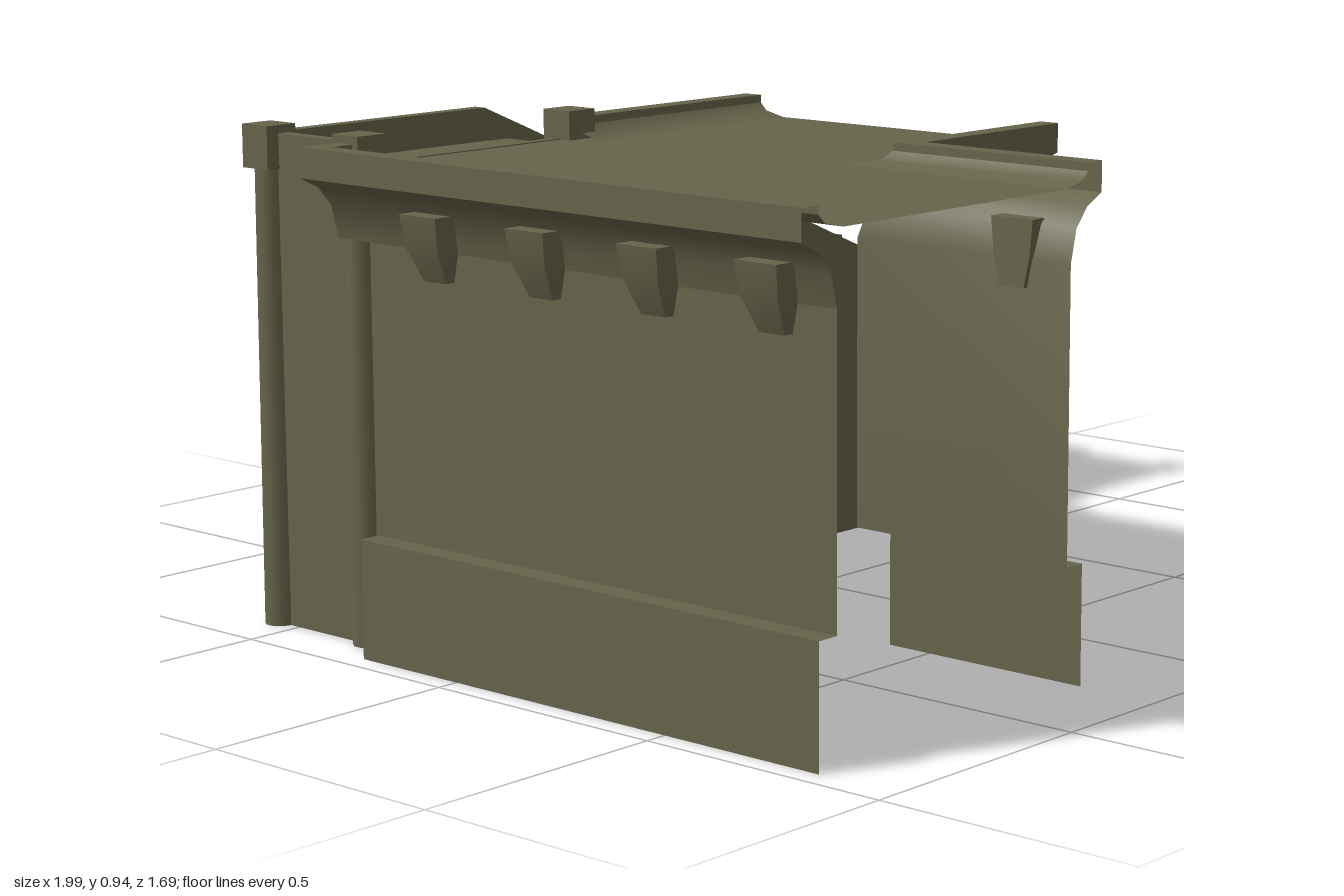
import * as THREE from 'three';
import { toCreasedNormals } from 'three/addons/utils/BufferGeometryUtils.js';

const stone = new THREE.MeshStandardMaterial({ color: 0x66644a, side: THREE.DoubleSide });
stone.name = 'olive stone';

export function createModel() {
  const model = new THREE.Group();

  const add = (name, geometry, x = 0, y = 0, z = 0) => {
    const mesh = new THREE.Mesh(geometry, stone);
    mesh.name = name;
    mesh.position.set(x, y, z);
    model.add(mesh);
    return mesh;
  };

  // Sheet lofted between rows of [x, y, z] points
  const loft = (rows, reverse = false) => {
    const n = rows[0].length, index = [];
    for (let i = 0; i < rows.length - 1; i++) {
      for (let j = 0; j < n - 1; j++) {
        const a = i * n + j, b = a + 1, c = a + n, d = c + 1;
        if (reverse) index.push(a, b, c, b, d, c);
        else index.push(a, c, b, b, c, d);
      }
    }
    const g = new THREE.BufferGeometry();
    g.setAttribute('position', new THREE.Float32BufferAttribute(rows.flat(2), 3));
    g.setIndex(index);
    g.computeVertexNormals();
    return g;
  };
  const creased = (g) => toCreasedNormals(g, 0.7);

  const outline = (pts) => new THREE.Shape(pts.map(([x, y]) => new THREE.Vector2(x, y)));

  // Upright slab in the x-y plane, centred on z
  const slab = (name, pts, z, t) =>
    add(name, new THREE.ExtrudeGeometry(outline(pts), { depth: t, bevelEnabled: false }), 0, 0, z - t / 2);

  // Coping that follows a line of [x, top] points
  const coping = (name, line, z, t, h = 0.06) =>
    slab(name, [...line, ...line.map(([x, y]) => [x, Math.max(0, y - h)]).reverse()], z, t);

  // Deck, an L-shaped sheet
  const deck = new THREE.ShapeGeometry(outline([
    [-0.9, 0.33], [0.17, 0.33], [0.17, -0.36], [-0.31, -0.36], [-0.31, -0.84], [-0.9, -0.84],
  ]));
  deck.rotateX(-Math.PI / 2);
  add('deck', deck, 0, 0.88, 0);

  // Kerb, cornice and wall section: [inset from rim, height]
  const rim = [[0.1, 0.88], [0.055, 0.89], [0.04, 0.905], [0.04, 0.92], [0, 0.92], [0, 0.865],
    [0.04, 0.845], [0.07, 0.81], [0.085, 0.75]];
  const wall = [[0.085, 0.75], [0.085, 0.22], [0.042, 0.22], [0.042, 0]];

  add('sideCornice', creased(loft(rim.map(([o, y]) => [[-1 + o, y, -0.33], [-1 + o, y, 0.84]]))));
  add('sideWall', creased(loft(wall.map(([o, y]) => [[-1 + o, y, -0.24], [-1 + o, y, 0.84]]))));
  add('notchWall', creased(loft([...rim, ...wall.slice(1)].map(([o, y]) => [
    [-0.22 - o, y, 0.84], [-0.22 - o, y, 0.45 - o], [0.17, y, 0.45 - o],
  ]))));
  add('rearCornice', creased(loft(rim.map(([o, y]) => [[0.17, y, -0.33 + o], [-0.35, y, -0.33 + o]]))));
  add('corniceEnd', new THREE.BoxGeometry(0.1, 0.05, 0.04), -0.95, 0.895, -0.31);

  // Wall at the back of the hall, running on as the outer side of the upper flight
  slab('hallBackWall', [[-0.9, 0], [0.95, 0], [0.95, 0.42], [0.69, 0.42], [0.17, 0.64], [-0.1, 0.75], [-0.9, 0.75]], -0.255, 0.016);
  slab('hallBackCove', [[-0.91, 0.82], [-0.86, 0.75], [-0.3, 0.75], [-0.24, 0.82], [-0.24, 0.88], [-0.91, 0.88]], -0.25, 0.012);
  coping('upperFlightCoping', [[0, 0.772], [0.17, 0.7], [0.69, 0.48], [0.96, 0.48]], -0.265, 0.035);

  // Wall between the flights
  slab('middleWall', [[-0.88, 0], [0.69, 0], [0.69, 0.42], [-0.35, 0.86], [-0.88, 0.86]], -0.55, 0.016);
  coping('middleCoping', [[-0.88, 0.92], [-0.35, 0.92], [0.69, 0.48]], -0.552, 0.026);

  // Outer wall of the lower flight
  slab('outerWall', [[-0.35, 0], [0.95, 0], [0.95, 0.42], [0.69, 0.42], [-0.3, 0.01]], -0.815, 0.014);
  coping('outerCoping', [[-0.35, 0.04], [0.69, 0.48], [0.96, 0.48]], -0.815, 0.024);

  // Landing end wall and the short wall beside the top landing
  add('landingWall', new THREE.BoxGeometry(0.014, 0.42, 0.54), 0.955, 0.21, -0.55);
  add('landingCoping', new THREE.BoxGeometry(0.025, 0.06, 0.54), 0.958, 0.45, -0.55);
  add('topLandingWall', new THREE.BoxGeometry(0.016, 0.86, 0.3), -0.875, 0.43, -0.4);
  add('topLandingCoping', new THREE.BoxGeometry(0.024, 0.06, 0.24), -0.875, 0.89, -0.43);
  add('topLanding', new THREE.PlaneGeometry(0.53, 0.3).rotateX(-Math.PI / 2), -0.615, 0.855, -0.4);
  add('topLandingRiser', new THREE.PlaneGeometry(0.55, 0.03), -0.625, 0.867, -0.3).rotation.y = Math.PI;

  // Flights of small steps with softened edges
  const flight = (name, x0, y0, x1, y1, zBack, zFront) => {
    const steps = 17, rows = [];
    for (let i = 0; i <= steps; i++) {
      const x = x0 + (x1 - x0) * i / steps;
      const y = y0 + (y1 - y0) * i / steps;
      rows.push([[x, y, zBack], [x, y, zFront]]);
      if (i < steps) {
        const nx = x0 + (x1 - x0) * (i + 1) / steps;
        rows.push([[nx, y, zBack], [nx, y, zFront]]);
      }
    }
    add(name, loft(rows, x1 > x0));
  };
  flight('upperFlight', -0.35, 0.855, 0.69, 0.42, -0.545, -0.26);
  flight('lowerFlight', 0.69, 0.42, -0.3, 0, -0.81, -0.555);

  // Posts with square caps: [x, z, foot, top, cap height]
  [
    [0.96, -0.815, 0, 0.5, 0.03], [0.96, -0.55, 0, 0.5, 0.03], [0.96, -0.275, 0, 0.5, 0.03],
    [-0.88, -0.553, 0, 0.935, 0.08], [-0.88, -0.31, 0, 0.935, 0.16], [-0.35, -0.31, 0.66, 0.935, 0.16],
  ].forEach(([x, z, foot, top, cap]) => {
    const h = top - foot - cap;
    add('postShaft', new THREE.CylinderGeometry(0.028, 0.031, h, 10), x, foot + h / 2, z);
    add('postCap', new THREE.BoxGeometry(0.068, cap, 0.068), x, top - cap / 2, z);
  });
  add('cornerColumn', new THREE.CylinderGeometry(0.028, 0.028, 0.53, 10), -0.885, 0.485, -0.215);

  // Corbels, narrowing downwards and back to the wall
  const corbel = (x, z, turn) => {
    const g = new THREE.BoxGeometry(0.09, 0.12, 0.07, 1, 2, 1);
    const p = g.attributes.position;
    for (let i = 0; i < p.count; i++) {
      const low = p.getY(i) < -0.01, mid = Math.abs(p.getY(i)) < 0.01;
      if (low) p.setX(i, p.getX(i) * 0.6);
      else if (mid) p.setX(i, p.getX(i) * 0.88);
      if (p.getZ(i) > 0) p.setZ(i, low ? -0.005 : mid ? 0.025 : 0.035);
    }
    g.computeVertexNormals();
    add('corbel', g, x, 0.76, z).rotation.y = turn;
  };
  for (let i = 0; i < 4; i++) corbel(-0.94, -0.06 + 0.26 * i, -Math.PI / 2);
  corbel(-0.28, 0.72, Math.PI / 2);
  corbel(0.04, 0.39, 0);

  return model;
}
